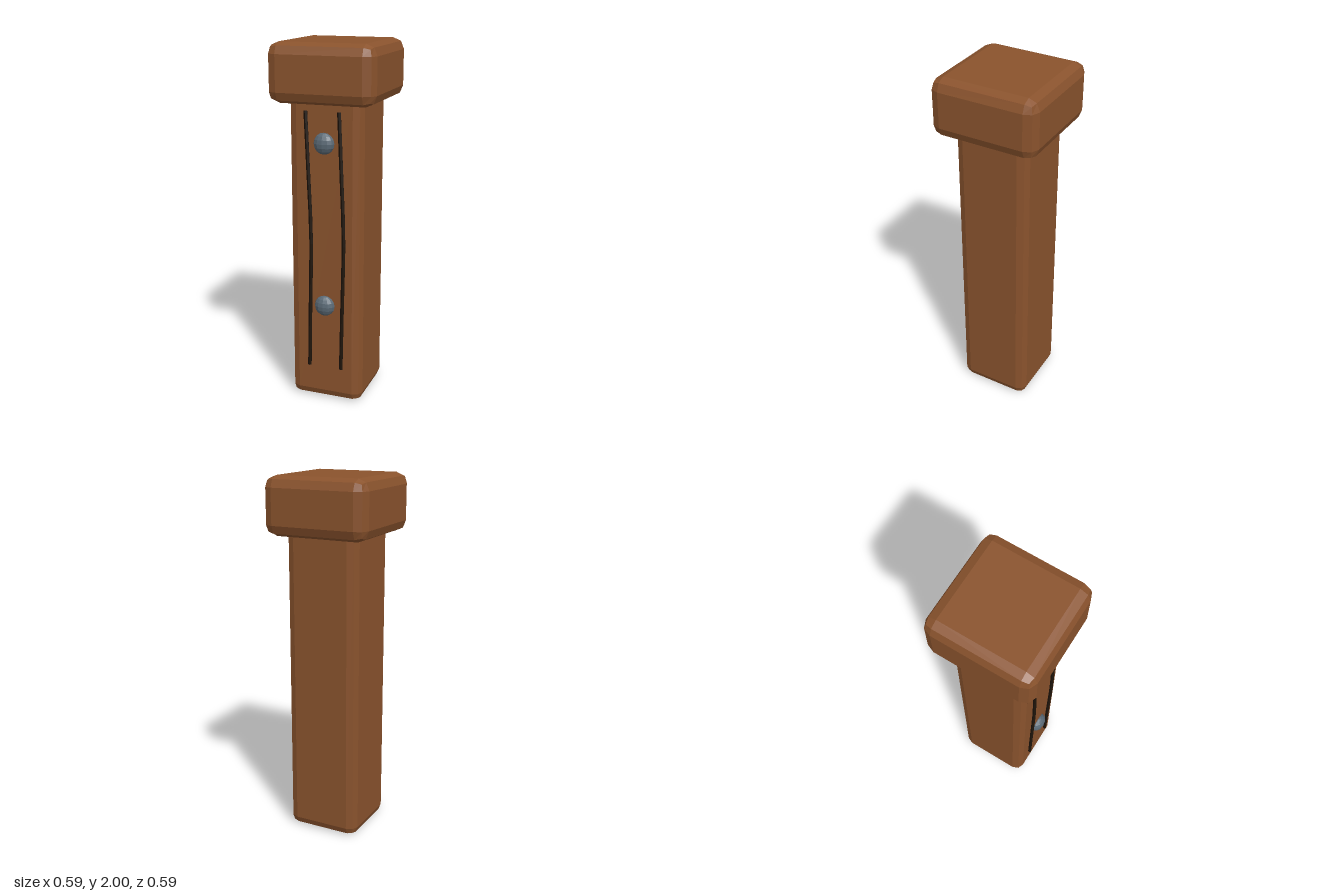
import * as THREE from 'three';
import { RoundedBoxGeometry } from 'three/addons/geometries/RoundedBoxGeometry.js';

const flat = (name, color) => new THREE.MeshStandardMaterial({ name, color, flatShading: true });

export function createModel() {
  const wood = flat('brown wood', 0x8a532d);
  const iron = flat('grey iron', 0x5a6975);
  const dark = flat('dark grain', 0x1e140a);

  const model = new THREE.Group();
  model.name = 'woodenPost';

  const add = (name, geometry, material, x, y, z) => {
    const mesh = new THREE.Mesh(geometry, material);
    mesh.name = name;
    mesh.position.set(x, y, z);
    model.add(mesh);
    return mesh;
  };

  // Bevelled post, running up into the wider cap
  add('post', new RoundedBoxGeometry(0.415, 1.75, 0.415, 1, 0.05), wood, 0, 0.885, 0).position.y = 0.875;
  add('cap', new RoundedBoxGeometry(0.59, 0.315, 0.59, 1, 0.06), wood, 0, 1.8425, 0);

  // Flattened rivets on the front face
  for (const [name, y] of [['lowerRivet', 0.57], ['upperRivet', 1.48]]) {
    const rivet = add(name, new THREE.SphereGeometry(0.058, 12, 8), iron, 0, y, 0.21);
    rivet.scale.z = 0.64;
  }

  // Bent wood-grain cracks beside the rivets
  for (const [name, x] of [['rightGrain', -0.09], ['leftGrain', 0.097]]) {
    const path = new THREE.CatmullRomCurve3([
      new THREE.Vector3(0, 0.2, 0),
      new THREE.Vector3(0.008, 0.6, 0),
      new THREE.Vector3(0.015, 0.95, 0),
      new THREE.Vector3(0.003, 1.3, 0),
      new THREE.Vector3(-0.011, 1.65, 0),
    ]);
    add(name, new THREE.TubeGeometry(path, 8, 0.011, 5), dark, x, 0, 0.214);
  }

  return model;
}
